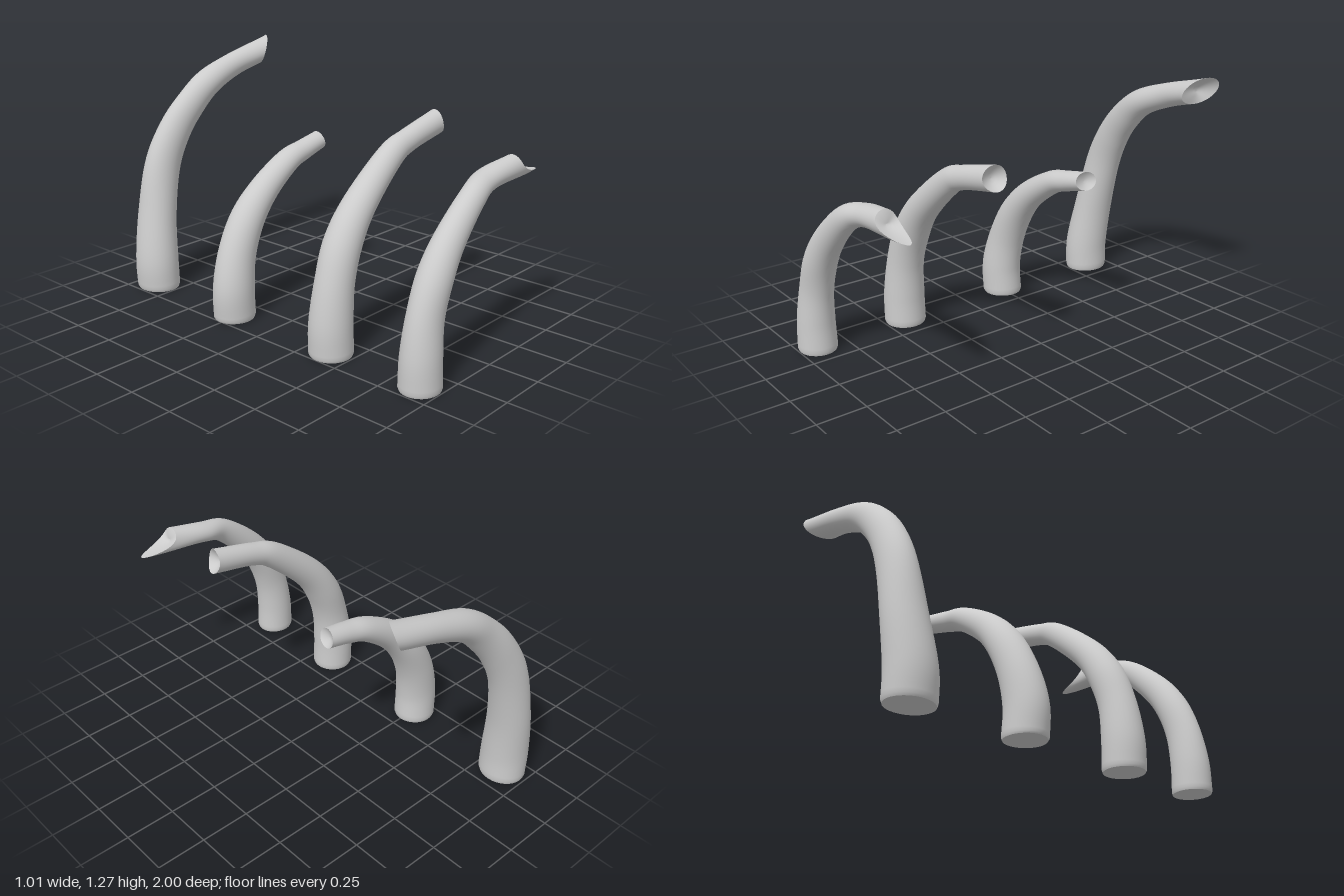
import * as THREE from 'three';

const SIDES = 32, STEPS = 56;
const material = new THREE.MeshStandardMaterial({ color: 0xcccccc });

// Smooth surface through closed rings of points
function loft(name, rings) {
  const index = [];
  for (let i = 0; i < rings.length - 1; i++) {
    for (let j = 0; j < SIDES; j++) {
      const k = (j + 1) % SIDES;
      const a = i * SIDES + j, b = i * SIDES + k, c = b + SIDES, d = a + SIDES;
      index.push(a, b, c, a, c, d);
    }
  }
  const geometry = new THREE.BufferGeometry().setFromPoints(rings.flat());
  geometry.setIndex(index);
  geometry.computeVertexNormals();
  const mesh = new THREE.Mesh(geometry, material);
  mesh.name = name;
  return mesh;
}

// stations: [x, y, z, radius in the bending plane, radius along z]
// cut(cos, sin): how far the broken end reaches beyond the last station;
// cos = 1 on the outer curve, sin = 1 on the +z side
function rib(name, stations, cut, depth) {
  const path = new THREE.CatmullRomCurve3(
    stations.map(s => new THREE.Vector3(s[0], s[1], s[2])), false, 'catmullrom', 0.5);
  const radii = new THREE.CatmullRomCurve3(
    stations.map(s => new THREE.Vector3(s[3], s[4], 0)), false, 'catmullrom', 0.5);

  const ring = (t, scale, reach) => {
    const center = path.getPoint(t), r = radii.getPoint(t);
    const tangent = path.getTangent(t).setZ(0).normalize();
    const outward = new THREE.Vector3(-tangent.y, tangent.x, 0);
    return Array.from({ length: SIDES }, (_, j) => {
      const a = j / SIDES * Math.PI * 2, c = Math.cos(a), s = Math.sin(a);
      const p = center.clone().addScaledVector(outward, r.x * c * scale);
      p.z += r.y * s * scale;
      p.addScaledVector(tangent, reach(c, s));
      p.y = Math.max(p.y, 0);
      return p;
    });
  };
  const none = () => 0;

  // Shaft, with a small rounded edge at the foot
  const shaft = [ring(0, 0.95, none)];
  for (let i = 0; i <= STEPS; i++) {
    const t = 0.012 + 0.988 * i / STEPS;
    const w = THREE.MathUtils.smoothstep(t, 0.84, 1.08) / THREE.MathUtils.smoothstep(1, 0.84, 1.08);
    shaft.push(ring(t, 1, (c, s) => cut(c, s) * w));
  }
  // Flat foot and hollowed broken end
  const foot = [ring(0, 0, none), ring(0, 0.95, none)];
  const end = [1, 0.85, 0.65, 0.4, 0.2, 0].map(k =>
    ring(1, k, (c, s) => cut(c, s) * k * k + (cut(0, 0) - depth) * (1 - k * k)));

  const group = new THREE.Group();
  group.name = name;
  group.add(loft('shaft', shaft), loft('foot', foot), loft('brokenEnd', end));
  return group;
}

export function createModel() {
  const model = new THREE.Group();
  model.name = 'curvedRibs';

  // Front rib, ending in a long splinter below
  model.add(rib('frontRib', [
    [-0.395, 0, 0.902, 0.103, 0.098],
    [-0.395, 0.16, 0.902, 0.1, 0.092],
    [-0.37, 0.33, 0.9, 0.093, 0.08],
    [-0.31, 0.49, 0.9, 0.086, 0.08],
    [-0.21, 0.63, 0.898, 0.077, 0.07],
    [-0.04, 0.78, 0.893, 0.063, 0.06],
    [0.1, 0.83, 0.872, 0.053, 0.062],
    [0.29, 0.852, 0.89, 0.062, 0.055],
  ], c => 0.185 * ((1 - c) / 2) ** 3, 0.01));

  // Second rib
  model.add(rib('secondRib', [
    [-0.398, 0, 0.39, 0.107, 0.107],
    [-0.4, 0.16, 0.39, 0.106, 0.104],
    [-0.375, 0.35, 0.39, 0.096, 0.093],
    [-0.315, 0.52, 0.385, 0.092, 0.091],
    [-0.2, 0.68, 0.385, 0.08, 0.08],
    [0.02, 0.865, 0.385, 0.067, 0.063],
    [0.15, 0.92, 0.387, 0.058, 0.056],
    [0.38, 0.972, 0.385, 0.061, 0.058],
  ], (c, s) => 0.012 * c * c - 0.012 * s, 0.03));

  // Third rib, the shortest
  model.add(rib('thirdRib', [
    [-0.403, 0, -0.255, 0.108, 0.104],
    [-0.408, 0.16, -0.252, 0.109, 0.1],
    [-0.37, 0.33, -0.262, 0.099, 0.092],
    [-0.29, 0.49, -0.267, 0.088, 0.087],
    [-0.17, 0.62, -0.265, 0.074, 0.075],
    [0, 0.73, -0.268, 0.06, 0.066],
    [0.12, 0.767, -0.268, 0.052, 0.058],
    [0.25, 0.797, -0.273, 0.046, 0.055],
  ], (c, s) => -0.012 * s, 0.02));

  // Back rib, the tallest, splintered on its upper rear edge
  model.add(rib('backRib', [
    [-0.39, 0, -0.87, 0.108, 0.12],
    [-0.392, 0.16, -0.873, 0.11, 0.118],
    [-0.36, 0.4, -0.893, 0.1, 0.105],
    [-0.3, 0.66, -0.902, 0.1, 0.085],
    [-0.21, 0.84, -0.893, 0.092, 0.076],
    [-0.1, 0.97, -0.88, 0.082, 0.072],
    [0.02, 1.065, -0.875, 0.072, 0.075],
    [0.2, 1.135, -0.875, 0.063, 0.066],
    [0.4, 1.19, -0.863, 0.06, 0.07],
  ], (c, s) => 0.028 + 0.05 * c - 0.055 * s, 0.03));

  return model;
}
